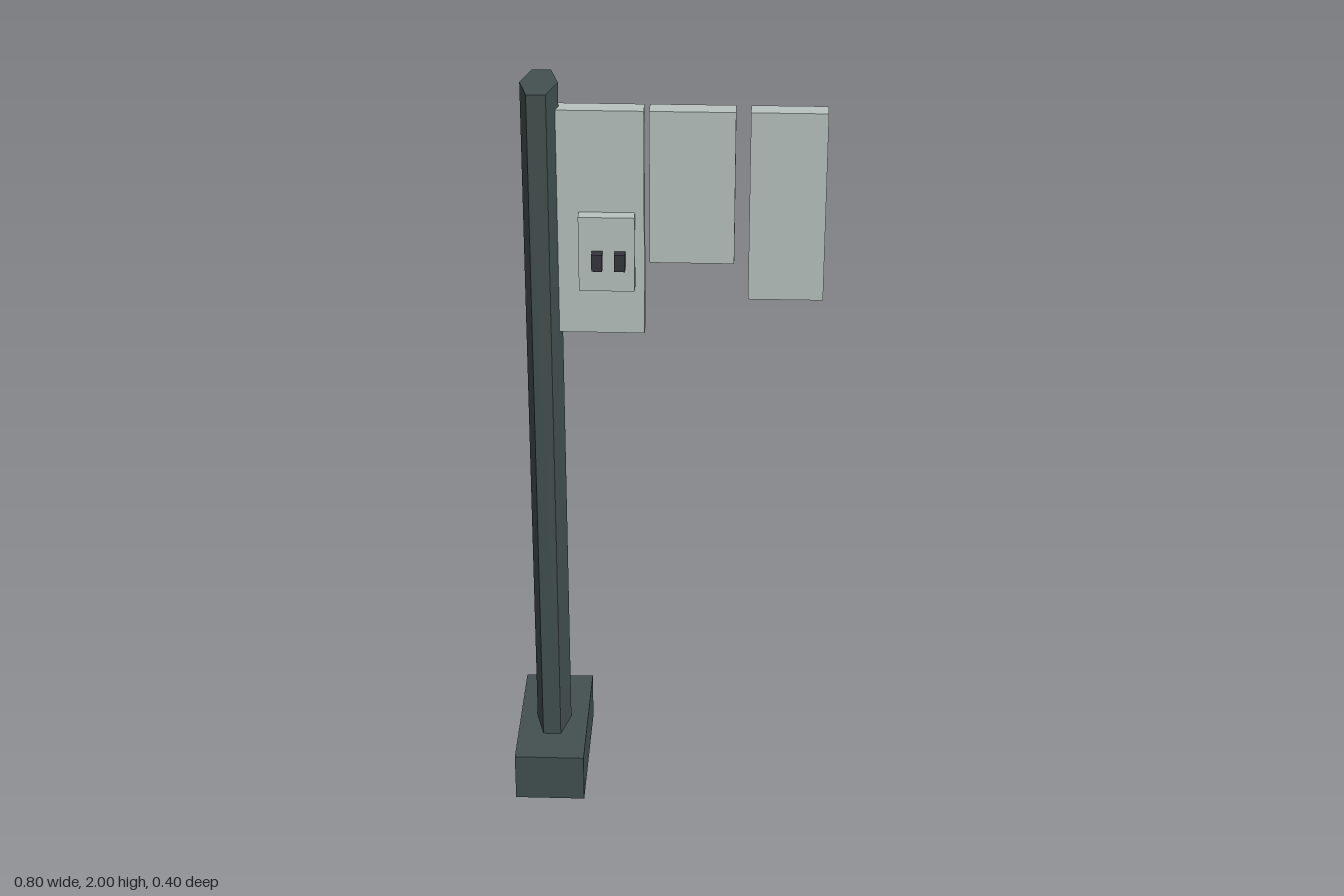
import * as THREE from 'three';

export function createModel() {
  const model = new THREE.Group();
  model.name = 'signPost';

  const mat = (name, color) => {
    const m = new THREE.MeshStandardMaterial({ color });
    m.name = name;
    return m;
  };
  const darkGreen = mat('darkGreyGreen', 0x435150);
  const paleGrey = mat('paleGreyGreen', 0xbac4c0);
  const charcoal = mat('charcoal', 0x37363f);

  // Box given by its minimum and maximum along each axis
  const box = (name, material, [x0, x1], [y0, y1], [z0, z1]) => {
    const mesh = new THREE.Mesh(new THREE.BoxGeometry(x1 - x0, y1 - y0, z1 - z0), material);
    mesh.position.set((x0 + x1) / 2, (y0 + y1) / 2, (z0 + z1) / 2);
    mesh.name = name;
    model.add(mesh);
  };

  // Foot block
  const baseTop = 0.135;
  box('base', darkGreen, [-0.4, -0.213], [0, baseTop], [-0.2, 0.2]);

  // Long hexagonal post, extruded upwards from the foot
  const hexagon = new THREE.Shape(
    [[0.047, 0], [0.024, 0.087], [-0.024, 0.087], [-0.047, 0], [-0.024, -0.087], [0.024, -0.087]]
      .map(([x, y]) => new THREE.Vector2(x, y))
  );
  const postGeometry = new THREE.ExtrudeGeometry(hexagon, { depth: 2 - baseTop, bevelEnabled: false });
  postGeometry.rotateX(-Math.PI / 2);
  const post = new THREE.Mesh(postGeometry, darkGreen);
  post.position.set(-0.307, baseTop, 0);
  post.name = 'post';
  model.add(post);

  // Three hanging panels with a common top edge: left x, right x, bottom y
  const panels = [[-0.275, -0.05, 1.338], [-0.037, 0.175, 1.535], [0.211, 0.4, 1.438]];
  panels.forEach(([x0, x1, bottom], i) =>
    box(`panel${i + 1}`, paleGrey, [x0, x1], [bottom, 1.938], [-0.025, 0.025]));

  // Control box with two small buttons
  box('controlBox', paleGrey, [-0.213, -0.073], [1.47, 1.67], [0.025, 0.059]);
  [-0.166, -0.109].forEach((x, i) =>
    box(`button${i + 1}`, charcoal, [x - 0.0135, x + 0.0135], [1.535, 1.58], [0.059, 0.085]));

  return model;
}
